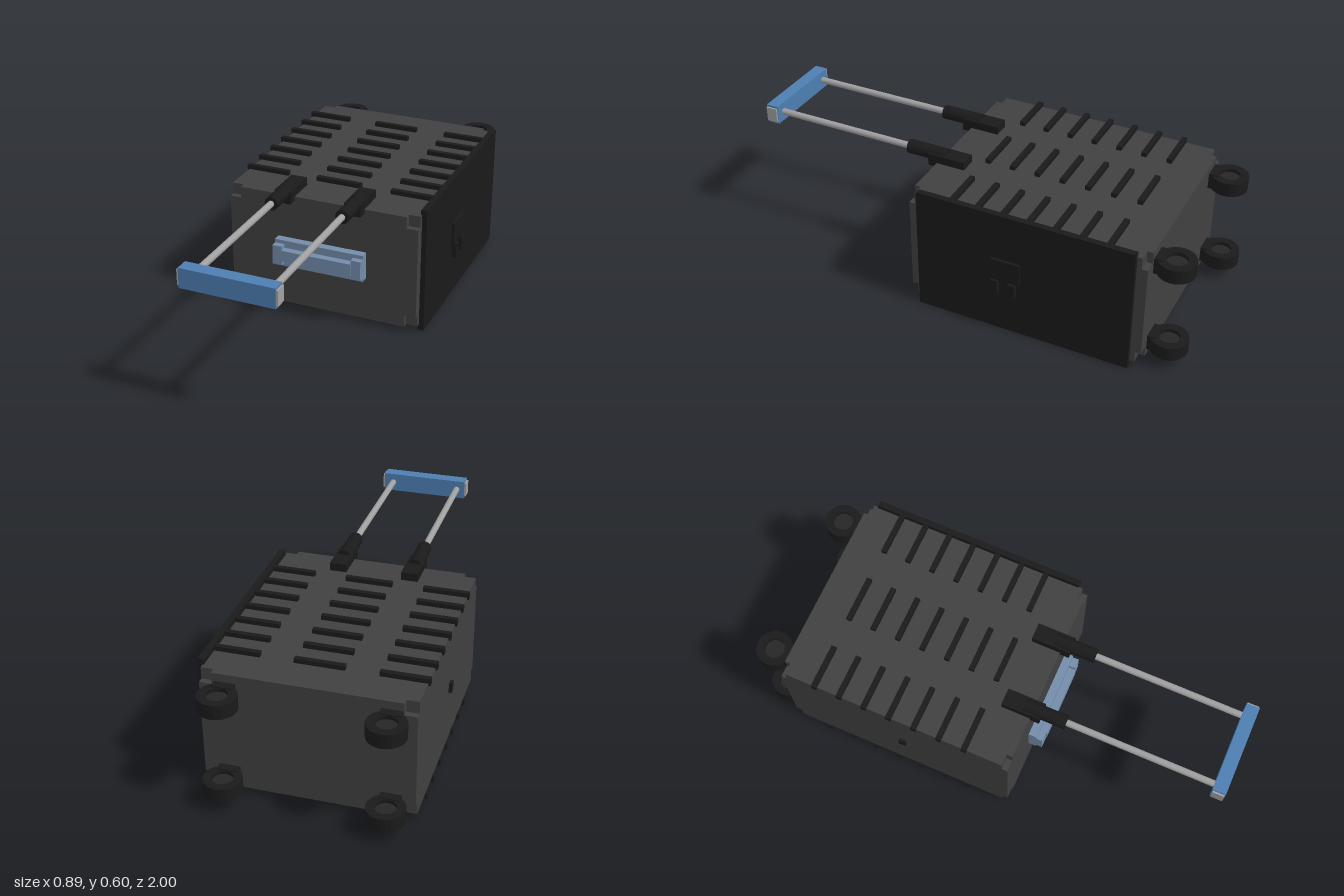
import * as THREE from 'three';

const mat = (color) => new THREE.MeshStandardMaterial({ color });

export function createModel() {
  const model = new THREE.Group();
  const shell = mat(0x404040), black = mat(0x1a1a1a), blue = mat(0x4d7eb2);
  const paleBlue = mat(0x738dab), metal = mat(0xa0a0a0);

  const add = (name, geometry, material, x = 0, y = 0, z = 0) => {
    const mesh = new THREE.Mesh(geometry, material);
    mesh.name = name;
    mesh.position.set(x, y, z);
    model.add(mesh);
    return mesh;
  };
  // Box given by its extents on each axis
  const box = (name, material, [x0, x1], [y0, y1], [z0, z1]) =>
    add(name, new THREE.BoxGeometry(x1 - x0, y1 - y0, z1 - z0), material,
      (x0 + x1) / 2, (y0 + y1) / 2, (z0 + z1) / 2);

  // Case body, with end plates notched at the corners
  const L = -0.435, R = 0.405, B = 0.025, T = 0.532, n = 0.05;
  box('caseBody', shell, [L, R], [B, T], [-0.82, 0.145]);
  const plate = new THREE.Shape([
    [L + n, B], [R - n, B], [R - n, B + n], [R, B + n], [R, T - n], [R - n, T - n],
    [R - n, T], [L + n, T], [L + n, T - n], [L, T - n], [L, B + n], [L + n, B + n],
  ].map(([x, y]) => new THREE.Vector2(x, y)));
  for (const [name, z] of [['frontPlate', 0.145], ['backPlate', -0.845]]) {
    add(name, new THREE.ExtrudeGeometry(plate, { depth: 0.025, bevelEnabled: false }), shell, 0, 0, z);
  }

  // Ribs: three short ones per row above, one full-width below
  for (let i = 0; i < 7; i++) {
    const z = -0.685 + i * 0.111, span = [z - 0.011, z + 0.011];
    for (const xs of [[-0.443, -0.25], [-0.118, 0.082], [0.217, 0.41]]) {
      box('topRib', black, xs, [T - 0.01, 0.551], span);
    }
    box('bottomRib', black, [-0.443, 0.41], [0.004, B + 0.005], span);
  }

  // Side lid and its latch
  box('sideLid', black, [0.4, 0.426], [0, 0.554], [-0.8, 0.128]);
  box('latchPlate', black, [0.42, 0.437], [0.25, 0.348], [-0.332, -0.204]);
  for (const z of [-0.3, -0.225]) {
    box('latchProng', black, [0.42, 0.447], [0.183, 0.25], [z - 0.015, z + 0.015]);
  }
  box('sideStud', black, [-0.447, -0.43], [0.256, 0.3], [-0.325, -0.295]);

  // Telescopic handle
  for (const x of [-0.173, 0.137]) {
    box('handleBase', black, [x - 0.036, x + 0.036], [0.513, 0.567], [0.045, 0.21]);
    const sleeve = add('handleSleeve', new THREE.CylinderGeometry(0.03, 0.03, 0.18, 12), black, x, 0.556, 0.225);
    const rod = add('handleRod', new THREE.CylinderGeometry(0.014, 0.014, 0.67, 16), metal, x, 0.556, 0.62);
    sleeve.rotation.x = rod.rotation.x = Math.PI / 2;
  }
  box('handleGrip', blue, [-0.21, 0.178], [0.514, 0.597], [0.945, 1]);
  for (const xs of [[-0.218, -0.21], [0.178, 0.186]]) {
    box('gripCap', metal, xs, [0.524, 0.588], [0.948, 0.997]);
  }

  // Carry handle on the front
  box('carryPlate', paleBlue, [-0.215, 0.182], [0.218, 0.338], [0.165, 0.205]);
  for (const xs of [[-0.215, -0.172], [0.139, 0.182]]) {
    box('carryEnd', paleBlue, xs, [0.235, 0.322], [0.2, 0.232]);
  }
  box('carryBar', paleBlue, [-0.172, 0.139], [0.253, 0.305], [0.2, 0.236]);

  // Castors: open tyre ring, recessed hub and mounting block
  const tyre = new THREE.LatheGeometry(
    [[0.042, -0.03], [0.077, -0.03], [0.077, 0.03], [0.042, 0.03], [0.042, -0.03]]
      .map(([r, y]) => new THREE.Vector2(r, y)), 24).toNonIndexed();
  tyre.computeVertexNormals();
  for (const x of [-0.34, 0.302]) {
    for (const y of [0.087, 0.464]) {
      add('tyre', tyre, black, x, y, -0.923);
      add('wheelHub', new THREE.CylinderGeometry(0.043, 0.043, 0.03, 24), mat(0x262626), x, y, -0.923);
      box('wheelMount', black, [x - 0.042, x + 0.042], [y - 0.034, y + 0.034], [-0.88, -0.84]);
    }
  }
  return model;
}
